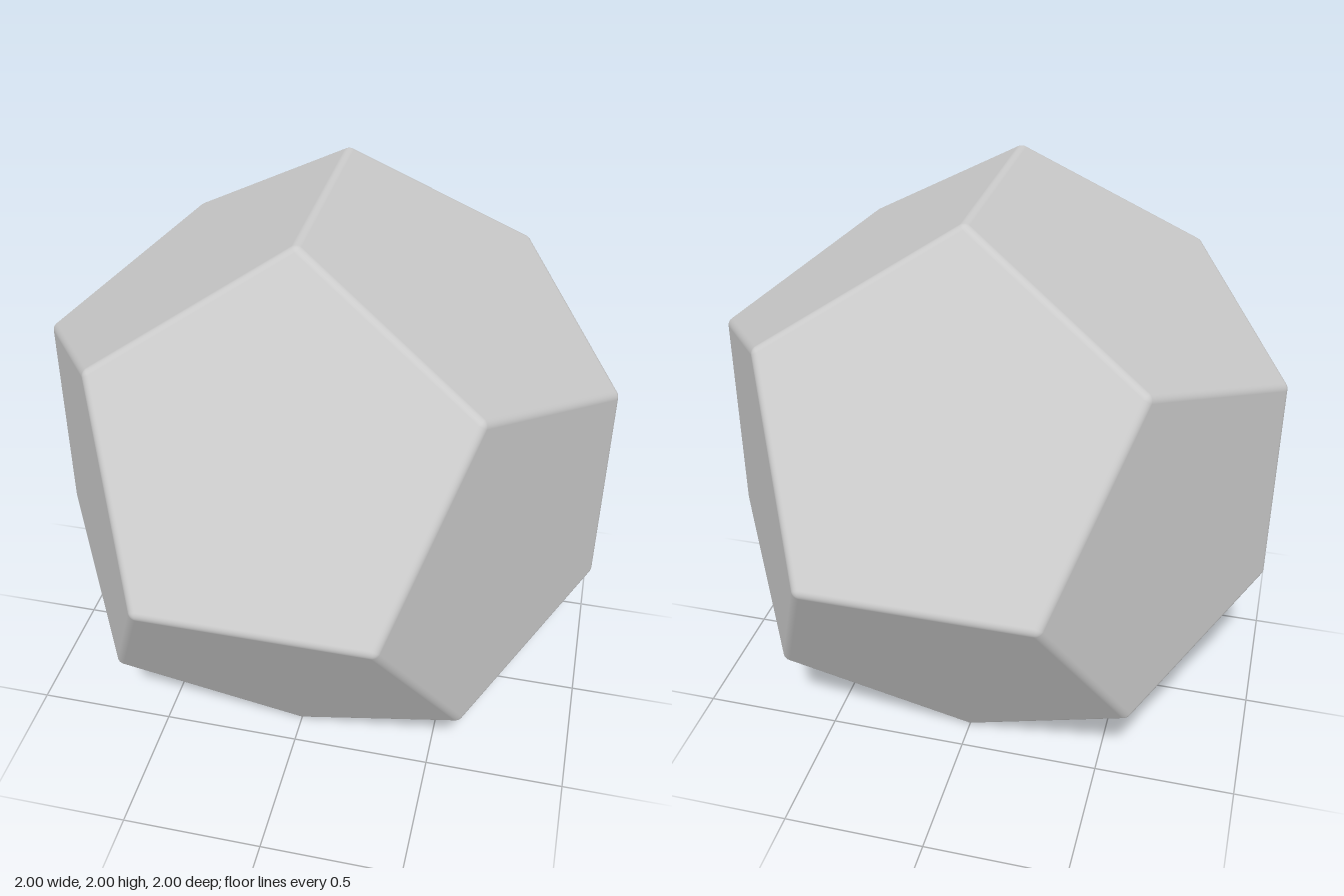
import * as THREE from 'three';

const ROUND = 0.03; // edge rounding radius
const STEPS = 6;    // segments across each rounded edge
const PHI = (1 + Math.sqrt(5)) / 2;

// The twelve face directions, from cyclic shifts of (0, 1, PHI)
function faceNormals() {
  const normals = [];
  for (const s of [1, -1]) for (const t of [1, -1]) {
    normals.push(
      new THREE.Vector3(0, s, t * PHI).normalize(),
      new THREE.Vector3(s * PHI, 0, t).normalize(),
      new THREE.Vector3(t, s * PHI, 0).normalize());
  }
  return normals;
}

function roundedDodecahedron() {
  const N = faceNormals();
  const positions = [], normals = [];
  const coreRadius = (1 - ROUND) * Math.sqrt(3) / PHI;

  // Adds one triangle of {core, n} points, turned to face outward
  const triangle = (a, b, c) => {
    const place = q => q.core.clone().addScaledVector(q.n, ROUND);
    const [A, B, C] = [a, b, c].map(place);
    const turn = B.clone().sub(A).cross(C.clone().sub(A));
    const outward = turn.dot(a.n.clone().add(b.n).add(c.n)) > 0;
    for (const q of outward ? [a, b, c] : [a, c, b]) {
      positions.push(...place(q).toArray());
      normals.push(...q.n.toArray());
    }
  };
  const touching = (i, j) => i !== j && N[i].dot(N[j]) > 0.1;
  const corner = (i, j, k) => N[i].clone().add(N[j]).add(N[k]).setLength(coreRadius);
  const blend = (i, j, k, u, v) => new THREE.Vector3()
    .addScaledVector(N[i], STEPS - u - v)
    .addScaledVector(N[j], u).addScaledVector(N[k], v).normalize();

  for (let i = 0; i < 12; i++) for (let j = 0; j < 12; j++) {
    if (!touching(i, j)) continue;
    const shared = [...N.keys()].filter(k => touching(i, k) && touching(j, k));
    const [p, q] = shared.map(k => corner(i, j, k));

    // Flat pentagon: one slice per side
    const centre = N[i].clone().multiplyScalar(p.dot(N[i]));
    triangle({ core: centre, n: N[i] }, { core: p, n: N[i] }, { core: q, n: N[i] });
    if (i > j) continue;

    // Rounded strip along each edge
    for (let s = 0; s < STEPS; s++) {
      const m = blend(i, j, i, s, 0), n = blend(i, j, i, s + 1, 0);
      triangle({ core: p, n: m }, { core: q, n: m }, { core: q, n });
      triangle({ core: p, n: m }, { core: q, n }, { core: p, n });
    }

    // Spherical patch on each corner
    for (const k of shared) {
      if (k < j) continue;
      const core = corner(i, j, k);
      const at = (u, v) => ({ core, n: blend(i, j, k, u, v) });
      for (let u = 0; u < STEPS; u++) for (let v = 0; u + v < STEPS; v++) {
        triangle(at(u, v), at(u + 1, v), at(u, v + 1));
        if (u + v < STEPS - 1) triangle(at(u + 1, v), at(u + 1, v + 1), at(u, v + 1));
      }
    }
  }

  const geometry = new THREE.BufferGeometry();
  geometry.setAttribute('position', new THREE.Float32BufferAttribute(positions, 3));
  geometry.setAttribute('normal', new THREE.Float32BufferAttribute(normals, 3));
  return geometry;
}

export function createModel() {
  const group = new THREE.Group();
  const body = new THREE.Mesh(roundedDodecahedron(),
    new THREE.MeshStandardMaterial({ color: 0xcccccc }));
  body.name = 'roundedDodecahedron';
  body.position.y = 1;
  group.add(body);
  return group;
}
